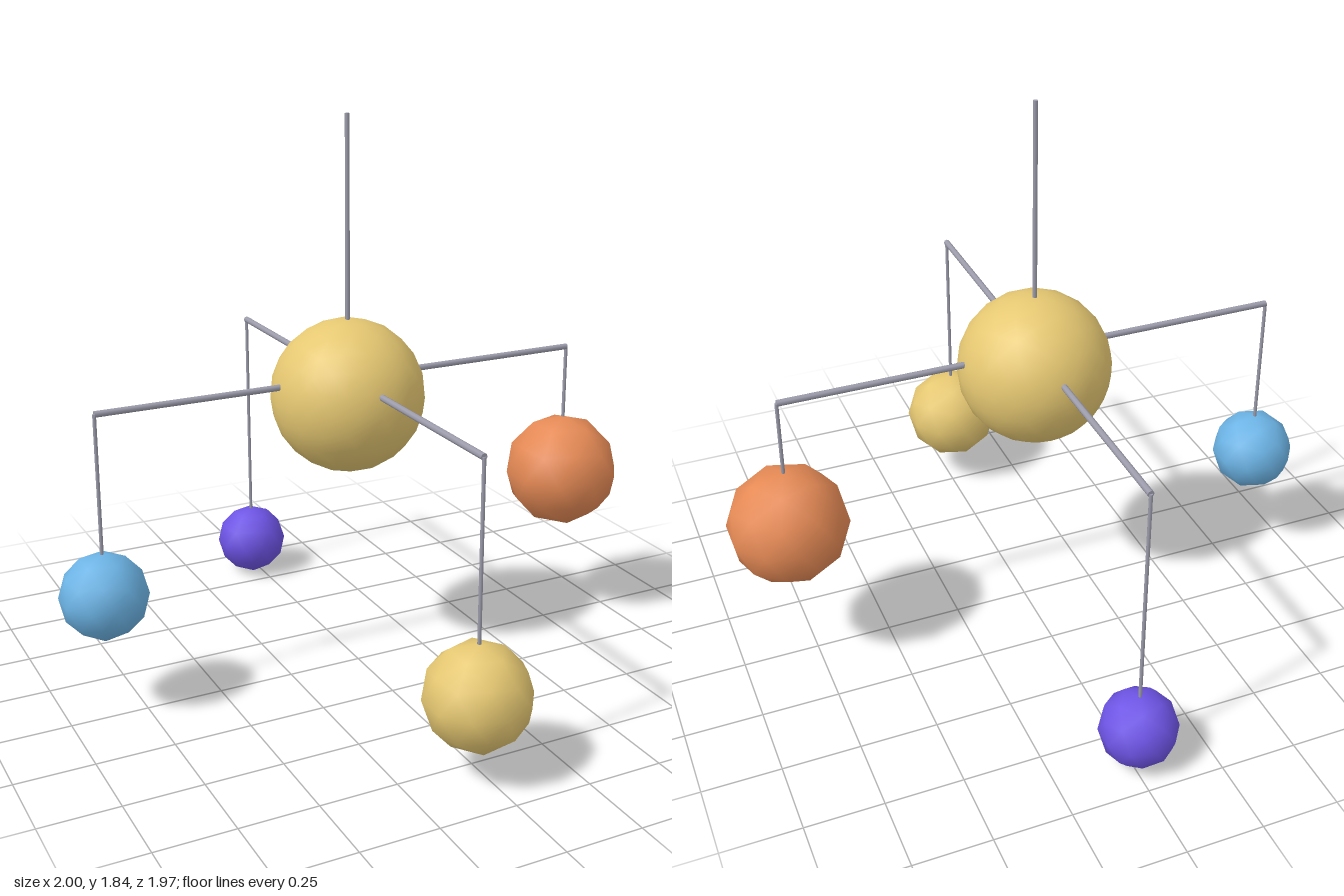
import * as THREE from 'three';

export function createModel() {
  const model = new THREE.Group();
  model.name = 'hangingMobile';

  const mat = (name, color) => {
    const m = new THREE.MeshStandardMaterial({ color });
    m.name = name;
    return m;
  };
  const gold = mat('gold', 0xe6c872);
  const orange = mat('orange', 0xe68a55);
  const blue = mat('blue', 0x6cb4e6);
  const violet = mat('violet', 0x6e54e6);
  const metal = mat('metal', 0x9c9cac);

  const CX = -0.027, CZ = -0.021; // hub axis
  const ARM = 0.84, ARM_Y = 0.996;

  const add = (name, geometry, material, parent) => {
    const mesh = new THREE.Mesh(geometry, material);
    mesh.name = name;
    parent.add(mesh);
    return mesh;
  };

  // Faceted ball with a vertex at each pole
  const ball = (name, r, detail, material, position, parent) => {
    const g = new THREE.IcosahedronGeometry(r, detail);
    g.rotateX(-Math.atan((1 + Math.sqrt(5)) / 2));
    g.rotateY(Math.PI / 2);
    add(name, g, material, parent).position.copy(position);
  };

  // Straight rod between two points
  const rod = (name, a, b, r, parent) => {
    const dir = b.clone().sub(a);
    const mesh = add(name, new THREE.CylinderGeometry(r, r, dir.length(), 8), metal, parent);
    mesh.position.copy(a).add(b).multiplyScalar(0.5);
    mesh.quaternion.setFromUnitVectors(new THREE.Vector3(0, 1, 0), dir.normalize());
  };

  // Central ball and hanging rod
  ball('centralBall', 0.25, 3, gold, new THREE.Vector3(CX, 0.941, CZ), model);
  rod('hangingRod', new THREE.Vector3(CX, ARM_Y, CZ), new THREE.Vector3(CX, 1.836, CZ), 0.0078, model);

  // Four arms, each with a cord and a ball
  const arms = [
    { name: 'left', x: 1, z: 0, r: 0.196, y: 0.548, material: orange },
    { name: 'right', x: -1, z: 0, r: 0.14, y: 0.408, material: blue },
    { name: 'front', x: 0, z: 1, r: 0.167, y: 0.266, material: gold },
    { name: 'back', x: 0, z: -1, r: 0.126, y: 0.126, material: violet },
  ];
  for (const a of arms) {
    const group = new THREE.Group();
    group.name = a.name + 'Branch';
    model.add(group);
    const hub = new THREE.Vector3(CX, ARM_Y, CZ);
    const tip = new THREE.Vector3(CX + a.x * ARM, ARM_Y, CZ + a.z * ARM);
    const end = new THREE.Vector3(tip.x, a.y, tip.z);
    rod(a.name + 'Arm', hub, tip, 0.0105, group);
    rod(a.name + 'Cord', tip, end, 0.006, group);
    ball(a.name + 'Ball', a.r, 1, a.material, end, group);
  }
  return model;
}
